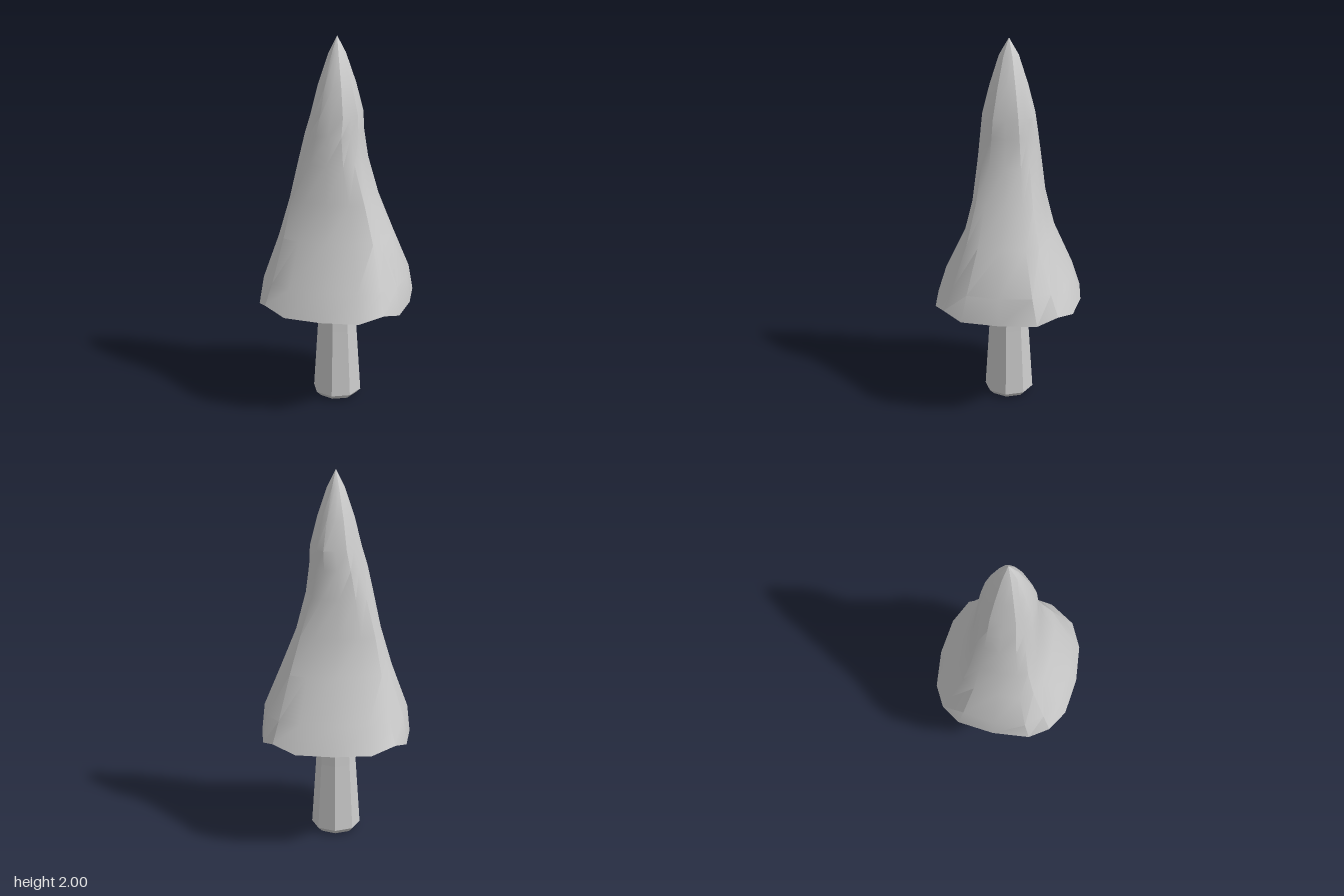
import * as THREE from 'three';
import { toCreasedNormals } from 'three/addons/utils/BufferGeometryUtils.js';

// Foliage levels: height, x offset, half width, half depth, corner x, corner z
const LEVELS = [
  [0.575, 0, 0.4, 0.39, 0.32, 0.302],
  [0.72, 0, 0.385, 0.345, 0.29, 0.26],
  [0.95, -0.005, 0.295, 0.237, 0.24, 0.19],
  [1.15, -0.015, 0.225, 0.188, 0.195, 0.15],
  [1.35, -0.02, 0.178, 0.168, 0.142, 0.125],
  [1.5, -0.013, 0.152, 0.152, 0.11, 0.11],
  [1.6, 0, 0.135, 0.14, 0.097, 0.1],
  [1.75, 0, 0.098, 0.102, 0.07, 0.072],
  [1.91, 0, 0.045, 0.052, 0.03, 0.035],
];
const SIDES = 16;

// A rounded square of 16 points: four bowed sides meeting at corners
function ring([y, ox, w, d, cx, cz]) {
  const quarter = [
    [w, 0],
    [cx + 0.75 * (w - cx), cz * 0.66],
    [cx, cz],
    [cx * 0.62, cz + 0.75 * (d - cz)],
  ];
  const back = [[0, d], ...quarter.slice(1).reverse().map(([x, z]) => [-x, z])];
  const half = [...quarter, back[0], ...back.slice(1).map(([x, z]) => [x, z]).reverse().sort((a, b) => b[0] - a[0])];
  const full = [...half, ...half.map(([x, z]) => [-x, -z])];
  return full.map(([x, z]) => [x + ox, y, z]);
}

function foliageGeometry() {
  const rings = LEVELS.map(ring);
  // the four hem corners lift a little
  for (let i = 2; i < SIDES; i += 4) rings[0][i][1] = 0.607;
  // flat underside, inset at the corners only
  const under = rings[0].map(([x, , z], i) => {
    const s = i % 4 === 2 ? 0.8 : 0.98;
    return [x * s, 0.572, z * s];
  });
  rings.unshift(under);
  const verts = rings.flat(2);
  const index = [];
  for (let r = 0; r < rings.length - 1; r++) {
    for (let i = 0; i < SIDES; i++) {
      const j = (i + 1) % SIDES;
      const a = r * SIDES + i, b = r * SIDES + j;
      const c = a + SIDES, d = b + SIDES;
      index.push(a, c, b, b, c, d);
    }
  }
  // closing fans: underside and tip
  const bottom = verts.length / 3, tip = bottom + 1;
  const last = (rings.length - 1) * SIDES;
  verts.push(0, 0.572, 0, 0, 2, 0);
  for (let i = 0; i < SIDES; i++) {
    const j = (i + 1) % SIDES;
    index.push(bottom, i, j, last + i, tip, last + j);
  }
  const geo = new THREE.BufferGeometry();
  geo.setAttribute('position', new THREE.Float32BufferAttribute(verts, 3));
  geo.setIndex(index);
  return toCreasedNormals(geo, 0.5);
}

export function createModel() {
  const tree = new THREE.Group();
  tree.name = 'tree';

  const foliage = new THREE.Mesh(
    foliageGeometry(),
    new THREE.MeshStandardMaterial({ color: 0xcccccc })
  );
  foliage.name = 'foliage';

  // Eight-sided trunk, flared to the foot with a small bevel
  const profile = [[0, 0], [0.105, 0.003], [0.132, 0.03], [0.121, 0.2], [0.108, 0.4], [0.098, 0.6]]
    .map(([r, y]) => new THREE.Vector2(r, y));
  const trunk = new THREE.Mesh(
    new THREE.LatheGeometry(profile, 8),
    new THREE.MeshStandardMaterial({ color: 0xcccccc, flatShading: true })
  );
  trunk.name = 'trunk';

  tree.add(foliage, trunk);
  return tree;
}
